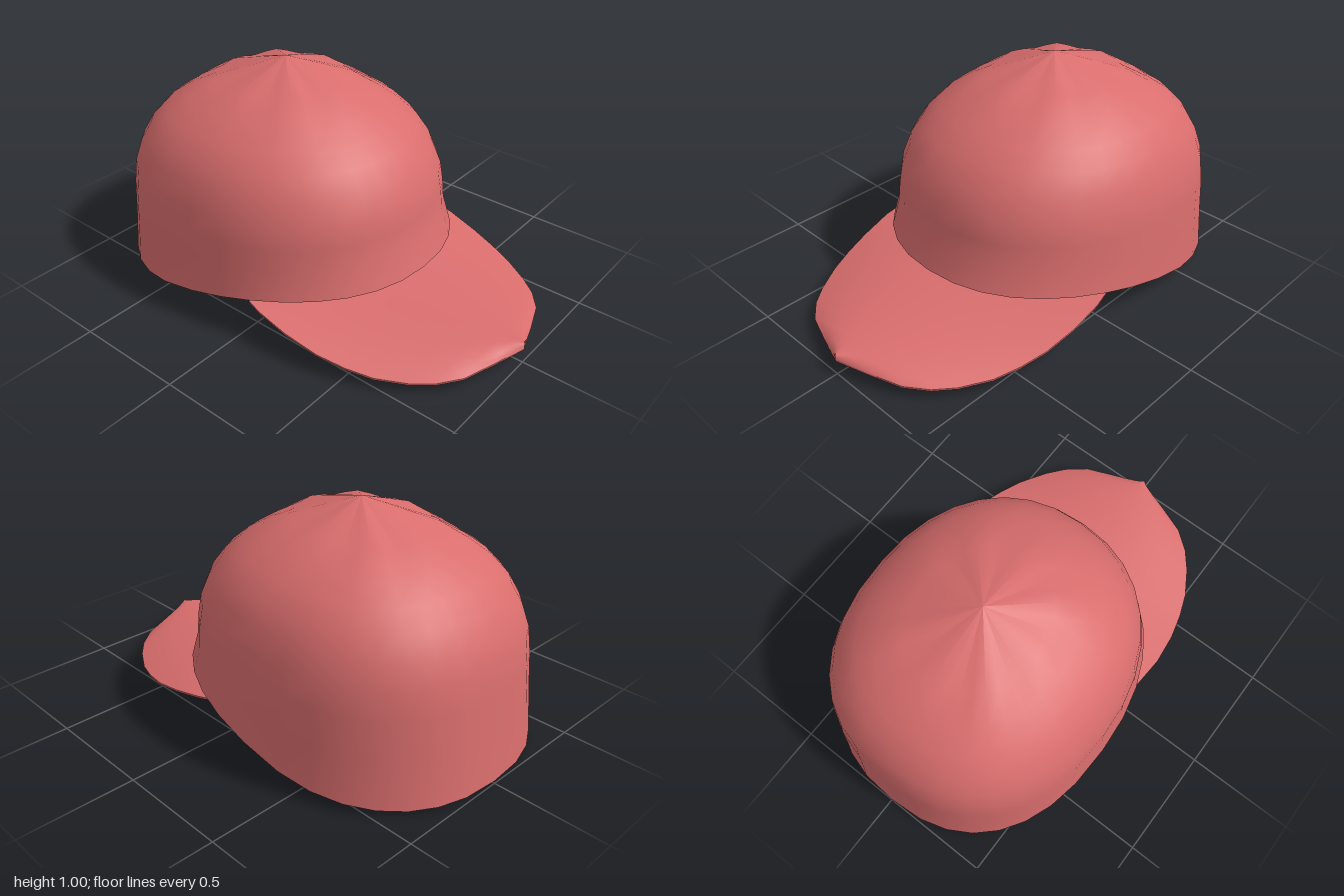
import * as THREE from 'three';

// Smooth skin over rows of points: columns run right and rows run up, seen from outside
function skin(rows, closed, material, name) {
  const n = rows[0].length, pos = rows.flat(2), index = [];
  for (let i = 0; i < rows.length - 1; i++) {
    for (let j = 0; j < (closed ? n : n - 1); j++) {
      const k = (j + 1) % n;
      const a = i * n + j, b = i * n + k, c = (i + 1) * n + k, d = (i + 1) * n + j;
      index.push(a, b, c, a, c, d);
    }
  }
  const geo = new THREE.BufferGeometry();
  geo.setAttribute('position', new THREE.Float32BufferAttribute(pos, 3));
  geo.setIndex(index);
  geo.computeVertexNormals();
  const mesh = new THREE.Mesh(geo, material);
  mesh.name = name;
  return mesh;
}

// Rounded oval ring, squarer at the back, tilted from its front height to its back height
const SIDES = 32;
function ring([half, zFront, zBack, yFront, yBack], wave, seam) {
  const points = [];
  for (let i = 0; i < SIDES; i++) {
    const a = (i / SIDES) * Math.PI * 2;
    const s = Math.sin(a), c = Math.cos(a);
    const power = c < 0 ? 0.84 : 0.92;
    const x = half * Math.sign(s) * Math.abs(s) ** power;
    const t = (Math.sign(c) * Math.abs(c) ** power + 1) / 2;
    const y = yBack + (yFront - yBack) * t - wave * Math.sin(t * Math.PI * 2)
      - seam * (1 - Math.cos(8 * a));
    points.push([x, y, zBack + (zFront - zBack) * t]);
  }
  return points;
}

function createCrown(material) {
  // half width, front z, back z, front y, back y
  const outer = [
    [0.64, 0.505, -1, 0.248, 0.012],
    [0.625, 0.46, -0.98, 0.38, 0.2],
    [0.62, 0.45, -0.965, 0.46, 0.38],
    [0.605, 0.435, -0.95, 0.545, 0.5],
    [0.573, 0.39, -0.917, 0.645, 0.595],
    [0.53, 0.325, -0.865, 0.725, 0.68],
    [0.465, 0.245, -0.795, 0.792, 0.757],
    [0.38, 0.15, -0.7, 0.855, 0.828],
    [0.27, 0.03, -0.58, 0.925, 0.9],
    [0, -0.26, -0.26, 1, 1],
  ];
  const last = outer.length - 1, THICK = 0.08;
  // the lining is offset inwards, and reaches a little below the shell at the rim
  const inner = outer.map(([h, f, b, yf, yb], i) => {
    if (i === 0) return [h - THICK, f - THICK, b + THICK, yf - 0.035, yb - 0.012];
    const slope = Math.max(0, i - 3) / (last - 3) * Math.PI / 2;
    const inset = THICK * Math.cos(slope), drop = THICK * Math.sin(slope);
    return [h - inset, f - inset, b + inset, yf - drop, yb - drop];
  });
  // the rim line is wavy, and the panels pucker slightly round the peak
  const seams = { [last - 1]: 0.008, [last - 2]: 0.004 };
  const rings = list => list.map((r, i) => ring(r, i === 0 ? 0.025 : 0, seams[i] ?? 0));
  const outerRings = rings(outer), innerRings = rings(inner);

  const crown = new THREE.Group();
  crown.name = 'crown';
  crown.add(
    skin(outerRings, true, material, 'crownShell'),
    skin([innerRings[0], outerRings[0]], true, material, 'crownRim'),
    skin([...innerRings].reverse(), true, material, 'crownLining'),
  );
  return crown;
}

function createBrim(material) {
  // z, half width, underside height at the edge
  const sections = [
    [0.03, 0.575, 0.165], [0.1, 0.59, 0.153], [0.25, 0.597, 0.122], [0.4, 0.58, 0.085],
    [0.52, 0.55, 0.063], [0.63, 0.51, 0.047], [0.75, 0.44, 0.04], [0.83, 0.375, 0.041],
    [0.9, 0.285, 0.046], [0.95, 0.15, 0.055], [1, 0, 0.065],
  ];
  const COLS = 16;
  // arched cross-section, highest along the centre line and thin at the edges
  const row = ([z, half, edge], thick, edgeThick) => Array.from({ length: COLS + 1 }, (_, j) => {
    const u = (j / COLS) * 2 - 1, arch = 1 - u * u;
    const middle = 0.165 - 0.095 * z;
    return [half * u, edge + (middle - edge) * arch + edgeThick + (thick - edgeThick) * arch, z];
  });
  const top = sections.map(s => row(s, 0.03, 0.008));
  const under = sections.map(s => row(s, 0, 0));
  // outline from one back corner round the tip to the other
  const outline = rows => [
    ...rows.map(r => r[0]),
    ...rows.slice(0, -1).reverse().map(r => r[COLS]),
  ];
  const back = rows => [...rows[0]].reverse();

  const brim = new THREE.Group();
  brim.name = 'brim';
  brim.add(
    skin([...top].reverse(), false, material, 'brimTop'),
    skin(under, false, material, 'brimUnderside'),
    skin([outline(under), outline(top)], false, material, 'brimEdge'),
    skin([back(under), back(top)], false, material, 'brimBackEdge'),
  );
  return brim;
}

export function createModel() {
  const fabric = new THREE.MeshStandardMaterial({ color: 0xd96d6d });
  fabric.name = 'redFabric';
  const cap = new THREE.Group();
  cap.name = 'cap';
  cap.add(createCrown(fabric), createBrim(fabric));
  return cap;
}
